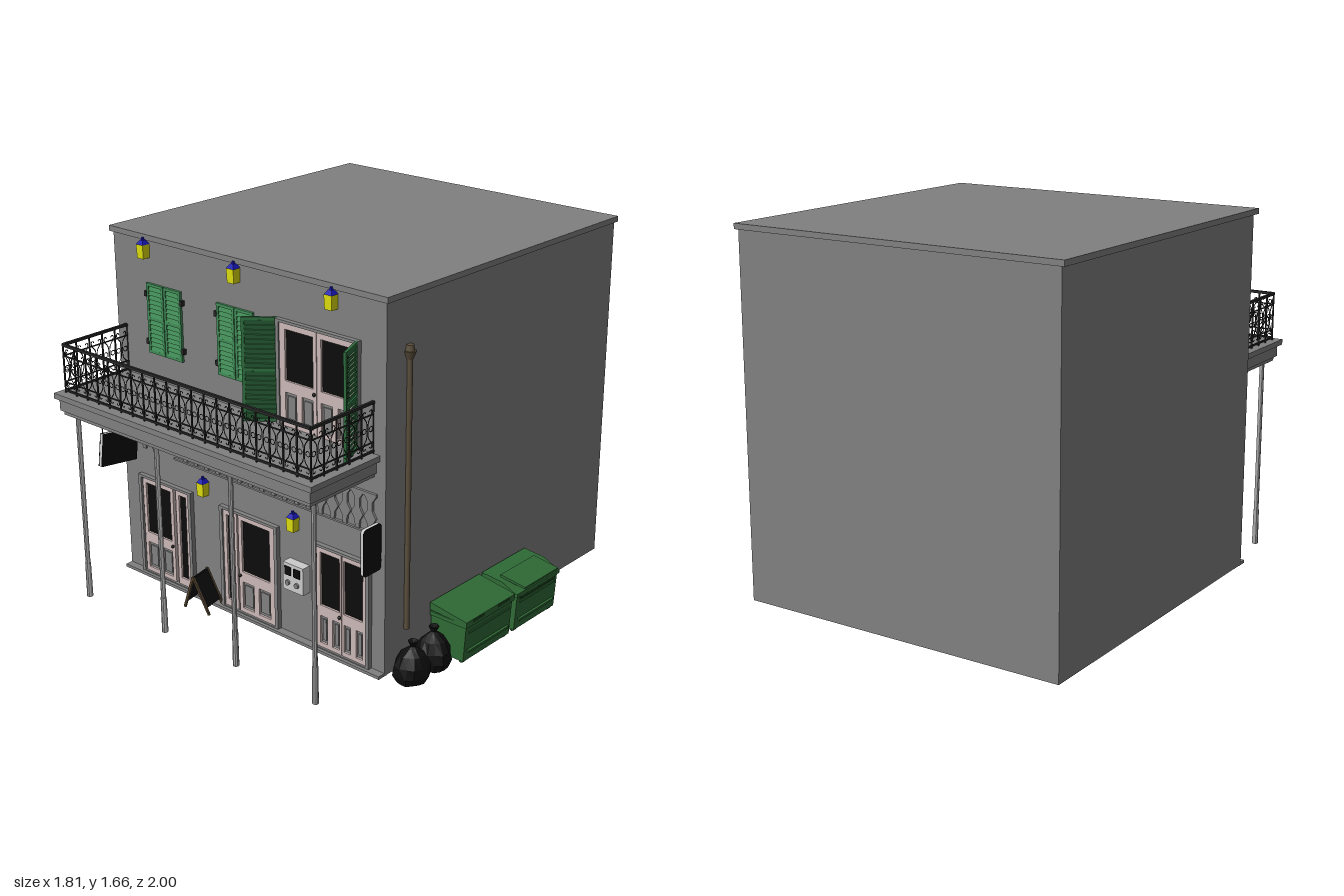
import * as THREE from 'three';

const mat = (color, flat = true) => new THREE.MeshStandardMaterial({ color, flatShading: flat, side: THREE.DoubleSide });
const M = {
  wall: mat(0x808080), pale: mat(0xcccccc), post: mat(0xa8a8a8), iron: mat(0x262626), black: mat(0x0c0c0c),
  door: mat(0xcbb8b6), green: mat(0x2c6b3c), shutter: mat(0x3f8a55), bin: mat(0x2f6a35), binDark: mat(0x1b421f),
  wood: mat(0x54442f), pipe: mat(0x5a4e3c, false), yellow: mat(0xdede10), blue: mat(0x1414b0), bag: mat(0x0e0e0e),
};
const WALL_Z = 0.595;

function add(parent, name, geo, material, x = 0, y = 0, z = 0) {
  const m = new THREE.Mesh(geo, material);
  m.name = name;
  m.position.set(x, y, z);
  parent.add(m);
  return m;
}
// box given by its limits
function box(parent, name, material, x0, x1, y0, y1, z0, z1) {
  return add(parent, name, new THREE.BoxGeometry(x1 - x0, y1 - y0, z1 - z0), material, (x0 + x1) / 2, (y0 + y1) / 2, (z0 + z1) / 2);
}
function group(parent, name, x = 0, y = 0, z = 0) {
  const g = new THREE.Group();
  g.name = name;
  g.position.set(x, y, z);
  parent.add(g);
  return g;
}
const poly = pts => pts.map(p => new THREE.Vector2(p[0], p[1]));
const rect = (x0, x1, y0, y1) => poly([[x0, y0], [x1, y0], [x1, y1], [x0, y1]]);
function extrude(outline, holes, depth) {
  const s = new THREE.Shape(outline);
  holes.forEach(h => s.holes.push(new THREE.Path(h)));
  return new THREE.ExtrudeGeometry(s, { depth, bevelEnabled: false });
}

// door leaf: glazed above, two raised panels below
function doorLeaf(parent, x0, x1, y0, y1, g0, g1, knobX) {
  const g = group(parent, 'doorLeaf');
  const glass = rect(g0, g1, y0 + 0.2, y1 - 0.025), mid = (g0 + g1) / 2;
  const panels = [[g0, mid - 0.015], [mid + 0.015, g1]];
  const holes = panels.map(p => rect(p[0], p[1], y0 + 0.02, y0 + 0.15));
  add(g, 'doorFrame', extrude(rect(x0, x1, y0, y1), [glass, ...holes], 0.016), M.door, 0, 0, WALL_Z);
  box(g, 'glass', M.black, g0, g1, y0 + 0.2, y1 - 0.025, WALL_Z, WALL_Z + 0.006);
  panels.forEach(p => {
    box(g, 'panelRecess', M.wall, p[0], p[1], y0 + 0.02, y0 + 0.15, WALL_Z, WALL_Z + 0.006);
    box(g, 'raisedPanel', M.wall, p[0] + 0.01, p[1] - 0.01, y0 + 0.035, y0 + 0.135, WALL_Z, WALL_Z + 0.012);
  });
  if (knobX !== undefined) add(g, 'knob', new THREE.SphereGeometry(0.008, 8, 6), M.iron, knobX, y0 + 0.18, WALL_Z + 0.022);
}
function sideLight(parent, x0, x1) {
  add(parent, 'sideLight', extrude(rect(x0, x1, 0.03, 0.505), [rect(x0 + 0.02, x1 - 0.02, 0.065, 0.48)], 0.016), M.door, 0, 0, WALL_Z);
  box(parent, 'sideGlass', M.black, x0 + 0.02, x1 - 0.02, 0.065, 0.48, WALL_Z, WALL_Z + 0.006);
}
function casing(parent, x0, x1, y0, y1) {
  add(parent, 'casing', extrude(rect(x0, x1, y0, y1), [rect(x0 + 0.018, x1 - 0.018, y0 + 0.005, y1 - 0.012)], 0.022), M.wall, 0, 0, WALL_Z);
}

// louvred shutter hinged at its local x = 0
function shutter(parent, w, h, material, x, y, z, angle = 0) {
  const g = group(parent, 'shutter', x, y, z);
  g.rotation.y = angle;
  const b = 0.013, halves = [[b, h / 2 - b / 2], [h / 2 + b / 2, h - b]];
  add(g, 'shutterFrame', extrude(rect(0, w, 0, h), halves.map(r => rect(b, w - b, r[0], r[1])), 0.012), material);
  halves.forEach(([a, c]) => {
    const n = Math.round((c - a) / 0.02);
    for (let i = 0; i < n; i++) {
      const s = add(g, 'slat', new THREE.BoxGeometry(w - 2 * b, 0.023, 0.004), material, w / 2, a + (i + 0.5) * (c - a) / n, 0.006);
      s.rotation.x = -0.35;
    }
  });
}

function lamp(parent, x, y) {
  const g = group(parent, 'lamp', x, y, WALL_Z + 0.018);
  const four = (t, b, h) => new THREE.CylinderGeometry(t * Math.SQRT2, b * Math.SQRT2, h, 4).rotateY(Math.PI / 4);
  add(g, 'lampGlass', four(0.021, 0.019, 0.062), M.yellow, 0, 0.031, 0);
  add(g, 'lampCap', four(0.009, 0.021, 0.018), M.blue, 0, 0.071, 0);
  add(g, 'lampFinial', four(0.004, 0.006, 0.012), M.blue, 0, 0.085, 0);
  add(g, 'lampBracket', new THREE.BoxGeometry(0.01, 0.012, 0.02), M.blue, 0, 0.07, -0.01);
}

// wrought iron railing run along local x, with mirrored scrolls in each bay
function railing(parent, length, bays, x, z, angle) {
  const g = group(parent, 'railing', x, 1.0, z), p = length / bays;
  g.rotation.y = angle;
  [[0.22, 0.012], [0.17, 0.005], [0.05, 0.005], [0.012, 0.008]].forEach(([y, t]) =>
    add(g, 'rail', new THREE.BoxGeometry(length, t, t), M.iron, length / 2, y, 0));
  const bar = new THREE.BoxGeometry(0.006, 0.22, 0.006);
  const scrollPts = [[0.012, 0.075], [0.019, 0.083], [0.027, 0.075], [0.022, 0.058], [0.006, 0.035], [0.003, 0], [0.006, -0.035],
    [0.022, -0.058], [0.027, -0.075], [0.019, -0.083], [0.012, -0.075]];
  const tube = s => new THREE.TubeGeometry(new THREE.CatmullRomCurve3(scrollPts.map(q => new THREE.Vector3(q[0] * s, q[1], 0))), 30, 0.0024, 4);
  const scrolls = [tube(1), tube(-1)], ring = new THREE.TorusGeometry(0.011, 0.002, 4, 10);
  for (let i = 0; i <= bays; i++) {
    add(g, 'baluster', bar, M.iron, i * p, 0.11, 0);
    if (i === bays) break;
    scrolls.forEach(s => add(g, 'scroll', s, M.iron, (i + 0.5) * p, 0.11, 0));
    [-1, 1].forEach(s => add(g, 'ring', ring, M.iron, (i + 0.5 + s * 0.28) * p, 0.11, 0));
  }
}

// pierced frieze of shaped pickets, with a few broken short
function frieze(parent) {
  const g = group(parent, 'frieze', 0, 0, WALL_Z + 0.002), n = 21, p = 1.42 / n;
  box(g, 'topRail', M.wall, -0.78, 0.64, 0.815, 0.83, 0, 0.012);
  box(g, 'bottomRail', M.wall, -0.55, 0.64, 0.648, 0.656, 0, 0.012);
  const side = [[0.5, 0.82], [0.2, 0.79], [0.2, 0.75], [0.48, 0.72], [0.2, 0.69], [0.14, 0.65]];
  for (let i = 0; i < n; i++) {
    const pts = side.slice(0, i === 2 ? 3 : i === 3 ? 4 : 6), x = -0.78 + (i + 0.5) * p;
    const outline = [...pts.map(q => [q[0] * p, q[1]]), ...pts.slice().reverse().map(q => [-q[0] * p, q[1]])];
    add(g, 'picket', extrude(poly(outline), [], 0.01), M.wall, x, 0, 0);
  }
}

// wheeled bin: sloped profile run along z, with lid and front ribs
function dumpster(parent, z0, z1, open) {
  const g = group(parent, 'dumpster'), len = z1 - z0;
  const body = poly([[0.69, 0.018], [0.865, 0.018], [0.878, 0.2], [0.69, 0.225]]);
  add(g, 'binBody', extrude(body, [], len - 0.016), M.bin, 0, 0, z0 + 0.008);
  box(g, 'binRim', M.bin, 0.69, 0.884, 0.185, 0.203, z0, z1);
  [0.06, 0.15].forEach(y => box(g, 'binRib', M.bin, 0.84, 0.88, y, y + 0.01, z0 + 0.03, z1 - 0.03));
  [z0 + 0.03, z1 - 0.03].forEach(z => add(g, 'binFoot', new THREE.CylinderGeometry(0.014, 0.014, 0.02, 8).rotateX(Math.PI / 2), M.binDark, 0.845, 0.016, z));
  if (open) {
    box(g, 'binSlot', M.binDark, 0.86, 0.882, 0.17, 0.183, z0 + 0.03, z1 - 0.03);
    add(g, 'binTop', extrude(poly([[0.69, 0.2], [0.875, 0.2], [0.8, 0.235], [0.69, 0.245]]), [], len), M.bin, 0, 0, z0);
    add(g, 'binLid', extrude(poly([[0.77, 0.238], [0.9, 0.222], [0.902, 0.232], [0.77, 0.25]]), [], 0.25), M.bin, 0, 0, z0 + 0.04);
  } else {
    add(g, 'binLid', extrude(poly([[0.69, 0.21], [0.885, 0.2], [0.885, 0.215], [0.69, 0.245]]), [], len), M.bin, 0, 0, z0);
    [0.08, 0.26].forEach(d => box(g, 'lidNotch', M.binDark, 0.87, 0.887, 0.2, 0.212, z0 + d - 0.04, z0 + d + 0.04));
  }
}

// crumpled sack with a tied neck
function bag(parent, x, z, turn) {
  const prof = poly([[0, 0], [0.06, 0.002], [0.078, 0.04], [0.074, 0.085], [0.052, 0.13], [0.022, 0.155], [0.01, 0.163], [0.022, 0.188], [0, 0.178]]);
  const geo = new THREE.LatheGeometry(prof, 14), a = geo.attributes.position;
  for (let i = 0; i < a.count; i++) {
    const t = Math.atan2(a.getZ(i), a.getX(i)), y = a.getY(i);
    const k = 1 + 0.07 * Math.sin(5 * t + 30 * y) + 0.04 * Math.cos(3 * t);
    a.setXYZ(i, a.getX(i) * k + y * 0.06, y, a.getZ(i) * k);
  }
  add(parent, 'rubbishBag', geo, M.bag, x, 0, z).rotation.y = turn;
}

export function createModel() {
  const root = new THREE.Group();
  root.name = 'townhouse';

  // main block
  box(root, 'walls', M.wall, -0.89, 0.68, 0.01, 1.64, -0.985, WALL_Z);
  box(root, 'roof', M.wall, -0.91, 0.69, 1.64, 1.665, -1, 0.603);
  box(root, 'frontStep', M.wall, -0.89, 0.68, 0.008, 0.022, 0.58, 0.632);

  // ground floor doors
  const doors = group(root, 'groundFloorDoors');
  casing(doors, -0.787, -0.443, 0.022, 0.515);
  doorLeaf(doors, -0.763, -0.563, 0.03, 0.505, -0.743, -0.583, -0.573);
  sideLight(doors, -0.545, -0.46);
  casing(doors, -0.26, 0.09, 0.022, 0.515);
  sideLight(doors, -0.24, -0.157);
  doorLeaf(doors, -0.148, 0.07, 0.03, 0.505, -0.128, 0.041, -0.138);
  casing(doors, 0.298, 0.61, 0.022, 0.515);
  doorLeaf(doors, 0.317, 0.455, 0.03, 0.505, 0.337, 0.445, 0.449);
  doorLeaf(doors, 0.459, 0.592, 0.03, 0.505, 0.469, 0.574);

  // balcony doors and shutters
  const upper = group(root, 'upperOpenings');
  casing(upper, 0.105, 0.55, 0.995, 1.46);
  doorLeaf(upper, 0.123, 0.326, 1.0, 1.447, 0.153, 0.307, 0.317);
  doorLeaf(upper, 0.329, 0.532, 1.0, 1.447, 0.351, 0.503);
  shutter(upper, 0.15, 0.455, M.green, 0.108, 1.005, 0.605, -(Math.PI - 0.66));
  shutter(upper, 0.148, 0.455, M.green, 0.545, 1.005, 0.605, -1.18);
  [-0.57, -0.137].forEach(x => {
    shutter(upper, 0.104, 0.32, M.shutter, x - 0.106, 1.13, 0.598);
    shutter(upper, 0.104, 0.32, M.shutter, x + 0.002, 1.13, 0.598);
    [-0.111, 0.111].forEach(d => [1.18, 1.4].forEach(y => box(upper, 'hinge', M.iron, x + d - 0.008, x + d + 0.008, y - 0.012, y + 0.012, WALL_Z, 0.612)));
  });

  // balcony: deck, stepped fascia and open joists
  const balcony = group(root, 'balcony');
  box(balcony, 'deck', M.wall, -0.87, 0.65, 0.975, 1.0, 0.59, 1.0);
  [[0, 0.92, 0.975], [0.012, 0.9, 0.93]].forEach(([i, y0, y1]) => {
    box(balcony, 'frontFascia', M.wall, -0.852 + i, 0.632 - i, y0, y1, 0.91, 0.985 - i);
    [-0.852 + i, 0.602 - i].forEach(x => box(balcony, 'sideFascia', M.wall, x, x + 0.03, y0, y1, 0.59, 0.92));
  });
  for (let i = 0; i < 13; i++) box(balcony, 'joist', M.wood, -0.78 + i * 0.11, -0.75 + i * 0.11, 0.935, 0.976, 0.59, 0.92);
  railing(balcony, 1.45, 20, -0.835, 0.96, 0);
  [-0.835, 0.615].forEach(x => railing(balcony, 0.365, 5, x, 0.96, Math.PI / 2));
  [-0.805, -0.3, 0.14, 0.595].forEach(x => {
    add(balcony, 'post', new THREE.CylinderGeometry(0.011, 0.011, 0.9, 10), M.post, x, 0.45, 0.927);
    add(balcony, 'postBase', new THREE.CylinderGeometry(0.013, 0.014, 0.17, 10), M.post, x, 0.085, 0.927);
  });
  frieze(root);

  [-0.68, -0.13, 0.41].forEach(x => lamp(root, x, 1.562));
  [-0.36, 0.185].forEach(x => lamp(root, x, 0.532));

  // meter box on the wall
  const meter = group(root, 'meterBox');
  box(meter, 'meterCase', M.pale, 0.148, 0.264, 0.257, 0.385, WALL_Z, 0.64);
  [[0.16, 0.33], [0.212, 0.33]].forEach(([x, y]) => box(meter, 'meterWindow', M.black, x, x + 0.035, y, y + 0.04, 0.63, 0.644));
  [0.178, 0.23].forEach(x => add(meter, 'meterDial', new THREE.CylinderGeometry(0.012, 0.012, 0.012, 12).rotateX(Math.PI / 2), M.wall, x, 0.295, 0.643));

  // hanging sign, tilted on its chains
  const sign = group(root, 'hangingSign', -0.745, 0.706, 0.758);
  sign.rotation.x = -0.13;
  add(sign, 'signBoard', new THREE.BoxGeometry(0.016, 0.15, 0.205), M.pale);
  [-0.009, 0.009].forEach(x => add(sign, 'signFace', new THREE.BoxGeometry(0.003, 0.152, 0.207), M.black, x));
  [[0.845, 0.79], [0.685, 0.765]].forEach(([z, y]) => box(root, 'chain', M.iron, -0.747, -0.743, y, 0.94, z - 0.002, z + 0.002));

  // wall sign with rounded corners
  const r = 0.018, s = new THREE.Shape().absarc(0.055 - r, 0.105 - r, r, 0, Math.PI / 2).absarc(r - 0.055, 0.105 - r, r, Math.PI / 2, Math.PI)
    .absarc(r - 0.055, r - 0.105, r, Math.PI, 1.5 * Math.PI).absarc(0.055 - r, r - 0.105, r, 1.5 * Math.PI, 2 * Math.PI);
  const slab = d => new THREE.ExtrudeGeometry(s, { depth: d, bevelEnabled: false, curveSegments: 5 }).translate(0, 0, -d / 2).rotateY(Math.PI / 2);
  add(root, 'wallSign', slab(0.012), M.pale, 0.655, 0.61, 0.655);
  [-0.007, 0.007].forEach(x => add(root, 'wallSignFace', slab(0.002), M.black, 0.655 + x, 0.61, 0.655));
  [0.54, 0.69].forEach(y => box(root, 'wallSignBracket', M.iron, 0.65, 0.66, y, y + 0.008, 0.59, 0.62));

  // folding pavement sign
  const board = group(root, 'pavementSign', -0.328, 0.185, 0.68);
  board.rotation.set(0.1, 0.08, 0);
  [-1, 1].forEach(k => {
    const leaf = group(board, 'signLeaf');
    leaf.rotation.z = k * 0.39;
    add(leaf, 'leafBoard', new THREE.BoxGeometry(0.008, 0.15, 0.1), M.black, 0, -0.08, 0);
    [-0.048, 0.048].forEach(z => add(leaf, 'leafLeg', new THREE.BoxGeometry(0.011, 0.19, 0.009), M.wood, 0, -0.095, z));
  });

  // side yard: downpipe, bins and bags
  add(root, 'downpipe', new THREE.CylinderGeometry(0.012, 0.012, 1.21, 12), M.pipe, 0.69, 0.79, 0.465);
  add(root, 'pipeHopper', new THREE.CylinderGeometry(0.027, 0.014, 0.035, 12), M.pipe, 0.69, 1.4, 0.465);
  add(root, 'pipeCap', new THREE.CylinderGeometry(0.016, 0.02, 0.025, 12), M.pipe, 0.69, 1.43, 0.465);
  dumpster(root, -0.035, 0.308, false);
  dumpster(root, -0.375, -0.055, true);
  bag(root, 0.77, 0.535, 0.4);
  bag(root, 0.772, 0.385, 2.1);
  return root;
}
